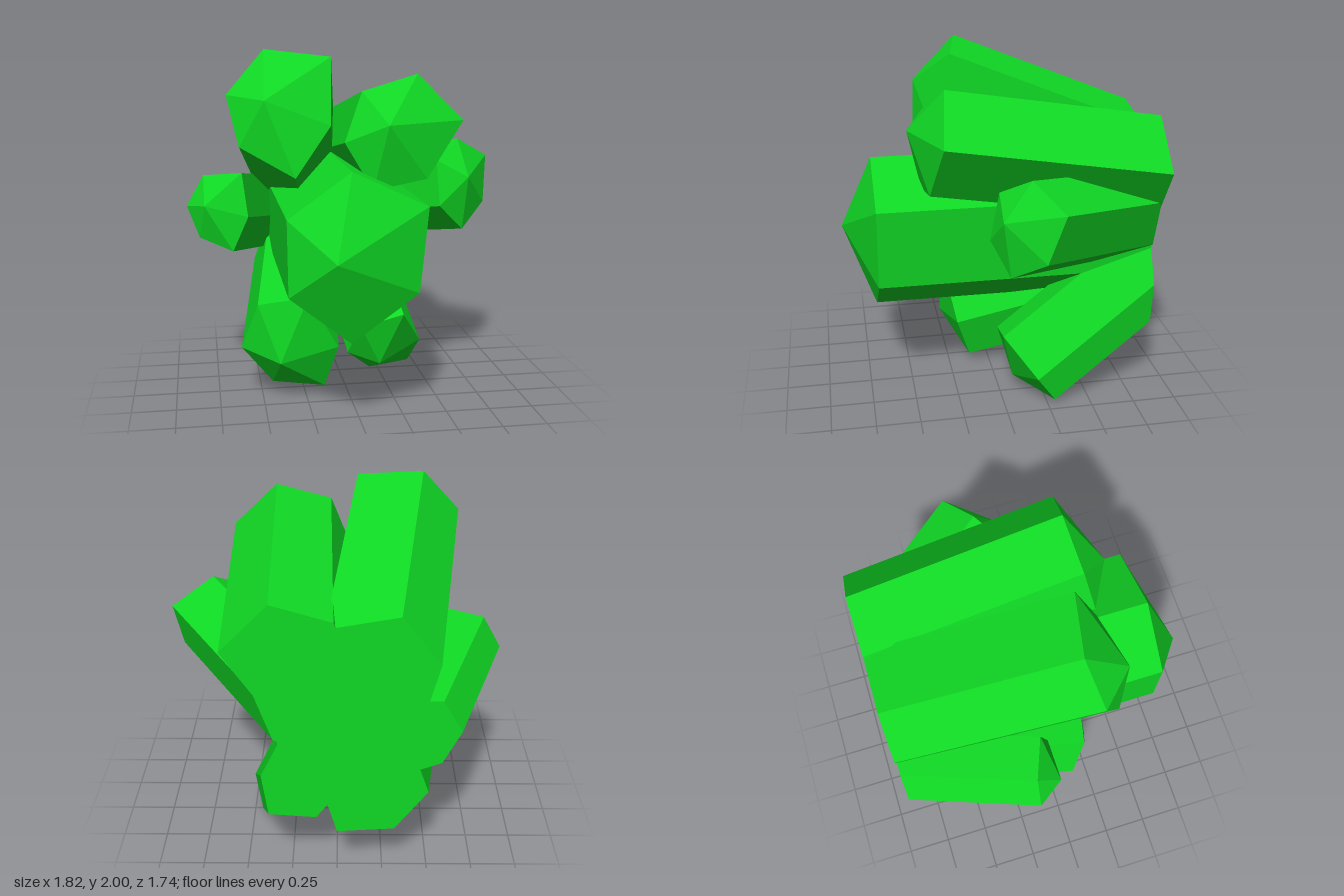
import * as THREE from 'three';

const BACK = -0.87; // flat plane on which every crystal ends

// One crystal: ring = shoulder corners [x, y], clockwise from the front.
// The shoulder lies square to the axis, so its depth is c + slope . (x, y).
// slope = sideways shift of the axis per unit of depth towards the back.
function crystalGeometry({ ring, c, slope, tip }) {
  const [sx, sy] = slope;
  const front = ring.map(([x, y]) => [x, y, c + sx * x + sy * y]);
  const back = front.map(([x, y, z]) => [x + sx * (z - BACK), y + sy * (z - BACK), BACK]);
  const pos = [];
  const tri = (...corners) => corners.forEach((p) => pos.push(...p));
  const n = ring.length;
  for (let i = 0; i < n; i++) {
    const j = (i + 1) % n;
    tri(tip, front[j], front[i]); // pointed cap
    tri(front[i], front[j], back[i]); // prism side
    tri(front[j], back[j], back[i]);
    if (i > 0 && i < n - 1) tri(back[0], back[i], back[j]); // flat end
  }
  const geo = new THREE.BufferGeometry();
  geo.setAttribute('position', new THREE.Float32BufferAttribute(pos, 3));
  geo.computeVertexNormals();
  return geo;
}

const crystals = {
  centreCrystal: {
    ring: [[-0.07, 1.4], [0.335, 1.21], [0.29, 0.75], [-0.07, 0.49], [-0.4, 0.75], [-0.405, 1.16]],
    c: 0.69, slope: [0, 0], tip: [-0.17, 0.96, 0.87],
  },
  upperRightCrystal: {
    ring: [[-0.47, 2], [-0.11, 1.96], [-0.13, 1.6], [-0.33, 1.33], [-0.62, 1.49], [-0.68, 1.76]],
    c: 0.985, slope: [0.155, -0.38], tip: [-0.49, 1.74, 0.4],
  },
  upperLeftCrystal: {
    ring: [[0.35, 1.87], [0.6, 1.62], [0.39, 1.31], [0.09, 1.255], [-0.06, 1.51], [0.04, 1.78]],
    c: 0.63, slope: [-0.02, -0.165], tip: [0.16, 1.61, 0.5],
  },
  smallLeftCrystal: {
    ring: [[0.69, 1.47], [0.905, 1.35], [0.87, 1.08], [0.7, 0.945], [0.54, 1.1], [0.53, 1.36]],
    c: 0.745, slope: [-0.73, -0.22], tip: [0.72, 1.26, 0.07],
  },
  smallRightCrystal: {
    ring: [[-0.81, 1.27], [-0.59, 1.29], [-0.56, 1.04], [-0.65, 0.84], [-0.84, 0.91], [-0.91, 1.09]],
    c: 0.375, slope: [0.4, -0.18], tip: [-0.81, 1.11, -0.04],
  },
  lowerRightCrystal: {
    ring: [[-0.25, 0.63], [-0.07, 0.31], [-0.14, 0.05], [-0.44, 0.08], [-0.62, 0.31], [-0.53, 0.585]],
    c: 0.13, slope: [0.14, 0.28], tip: [-0.41, 0.25, 0.28],
  },
  lowerLeftCrystal: {
    ring: [[0.36, 0.42], [0.5, 0.2], [0.45, 0.03], [0.2, 0], [0.04, 0.15], [0.1, 0.35]],
    c: -0.244, slope: [-0.15, 0.71], tip: [0.23, 0.09, -0.08],
  },
};

export function createModel() {
  const group = new THREE.Group();
  group.name = 'crystalCluster';
  const material = new THREE.MeshStandardMaterial({ color: 0x10d824, flatShading: true });
  for (const [name, spec] of Object.entries(crystals)) {
    const mesh = new THREE.Mesh(crystalGeometry(spec), material);
    mesh.name = name;
    group.add(mesh);
  }
  return group;
}
